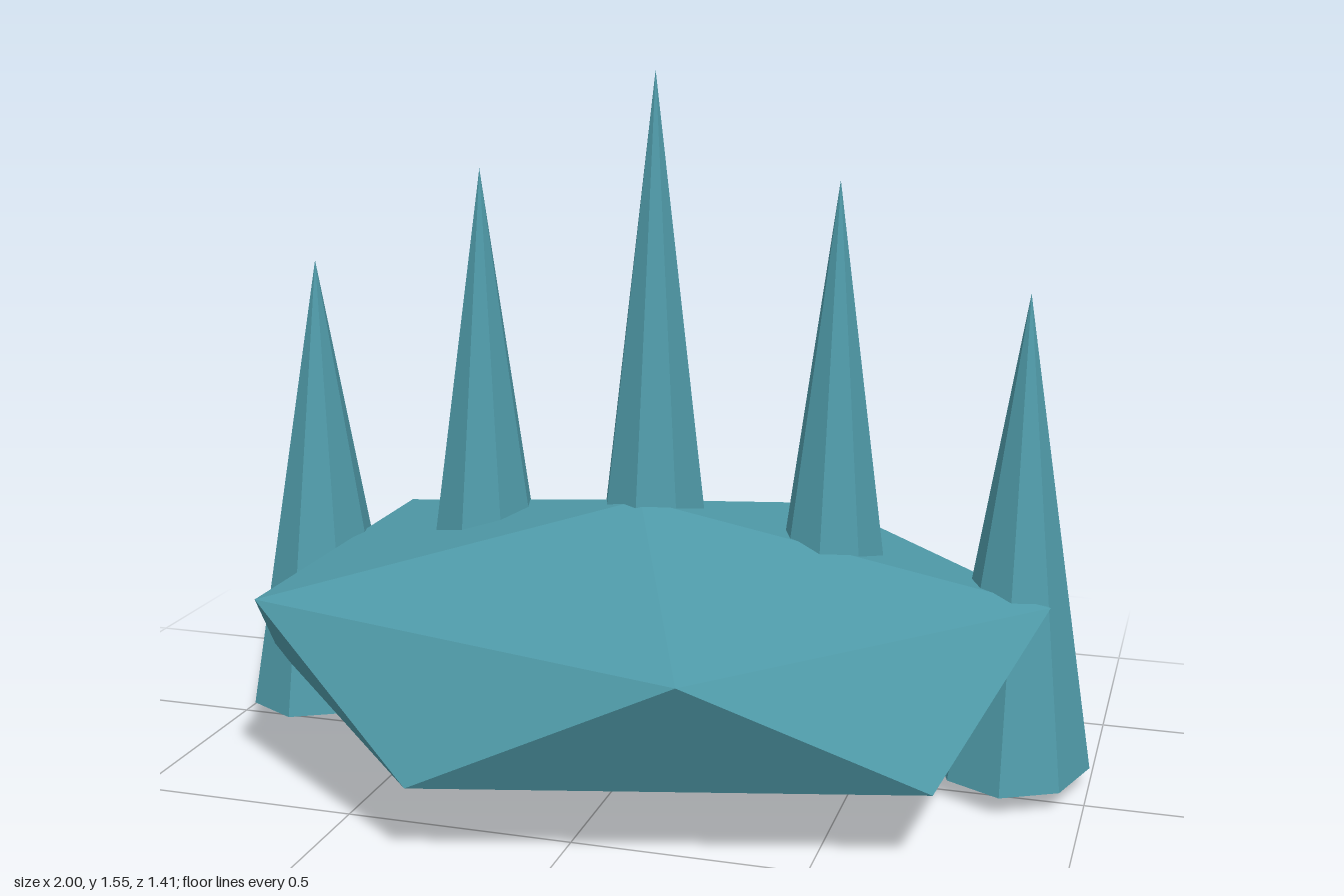
import * as THREE from 'three';

// Bake hard facets into the normals
function faceted(geometry) {
  const g = geometry.index ? geometry.toNonIndexed() : geometry;
  g.computeVertexNormals();
  return g;
}

export function createModel() {
  const model = new THREE.Group();
  model.name = 'spikedRock';
  const teal = new THREE.MeshStandardMaterial({ color: 0x4f9aa8 });
  teal.name = 'teal';

  // Body: icosahedron standing on a vertex, flattened
  const bodyGeometry = new THREE.IcosahedronGeometry(1, 0);
  bodyGeometry.rotateZ(-Math.atan(2 / (1 + Math.sqrt(5))));
  bodyGeometry.scale(1.018, 0.303, 0.828);
  const body = new THREE.Mesh(faceted(bodyGeometry), teal);
  body.name = 'body';
  body.position.y = 0.303;
  model.add(body);

  // Row of eight-sided spikes, tallest in the middle
  const addSpike = (name, x, bottom, tip) => {
    const geometry = new THREE.ConeGeometry(1, 1, 8);
    geometry.scale(0.17, tip - bottom, 0.227);
    const spike = new THREE.Mesh(faceted(geometry), teal);
    spike.name = name;
    spike.position.set(x, (tip + bottom) / 2, -0.113);
    model.add(spike);
  };
  addSpike('centreSpike', 0, 0.115, 1.547);
  for (const [side, s] of [['left', 1], ['right', -1]]) {
    addSpike(side + 'MiddleSpike', s * 0.415, 0.08, 1.32);
    addSpike(side + 'OuterSpike', s * 0.83, 0.042, 1.093);
  }
  return model;
}
